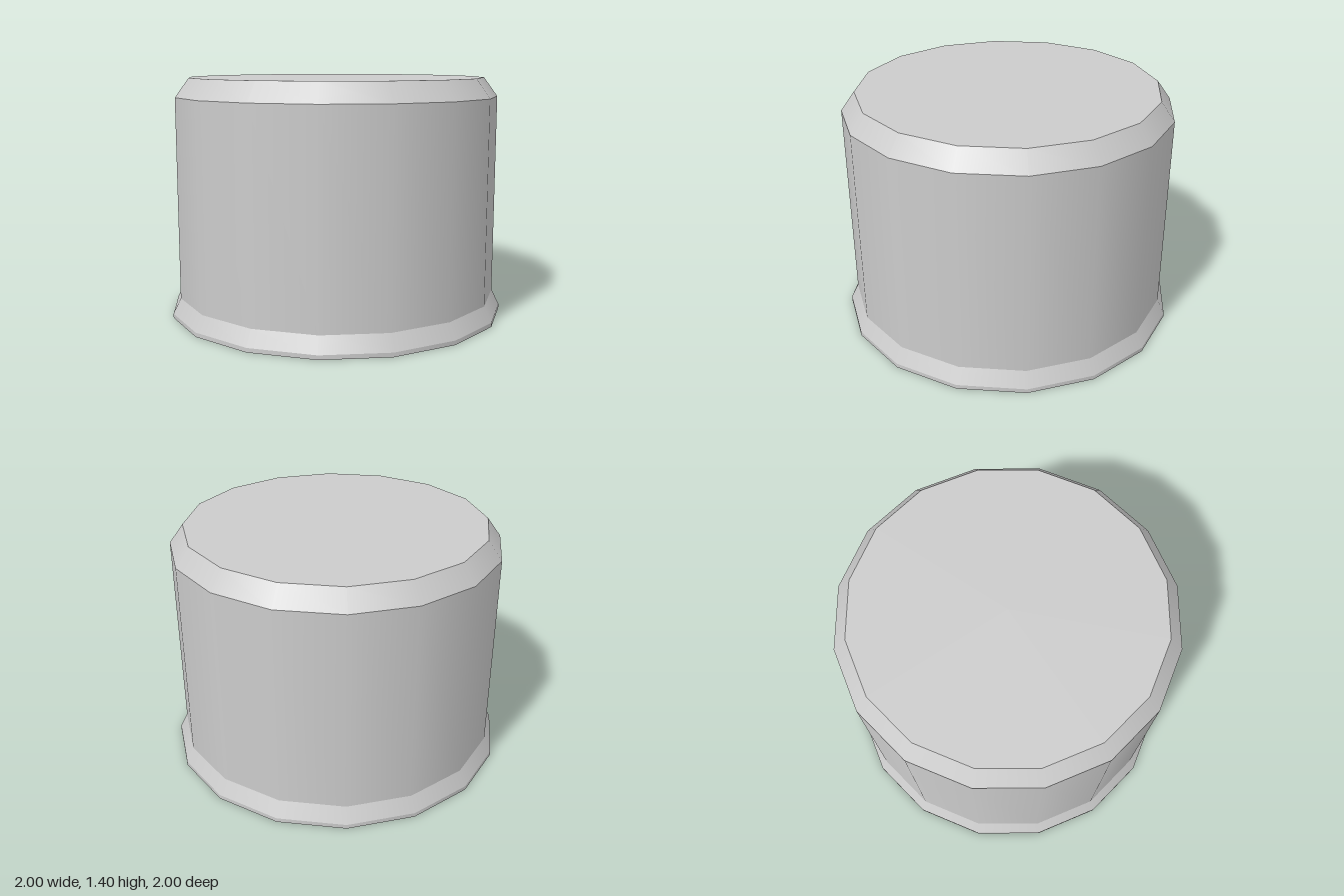
import * as THREE from 'three';

const SIDES = 16;

export function createModel() {
  const group = new THREE.Group();
  group.name = 'cap';
  const material = new THREE.MeshStandardMaterial({ color: 0xcccccc });

  // Profile from the inner ceiling, down the bore, round the rim and up to the top
  const profile = [
    [0, 1.29], [0.85, 1.29], [0.85, 0], [1, 0], [1, 0.025],
    [0.955, 0.115], [0.955, 1.29], [0.875, 1.4], [0, 1.4],
  ].map(([r, y]) => new THREE.Vector2(r, y));

  const names = [
    'innerCeiling', 'innerWall', 'bottomRim', 'flangeEdge',
    'flangeSlope', 'outerWall', 'topBevel', 'topFace',
  ];

  // One lathe per band: smooth around, sharp between bands
  names.forEach((name, i) => {
    const geometry = new THREE.LatheGeometry([profile[i], profile[i + 1]], SIDES);
    const mesh = new THREE.Mesh(geometry, material);
    mesh.name = name;
    group.add(mesh);
  });

  return group;
}
